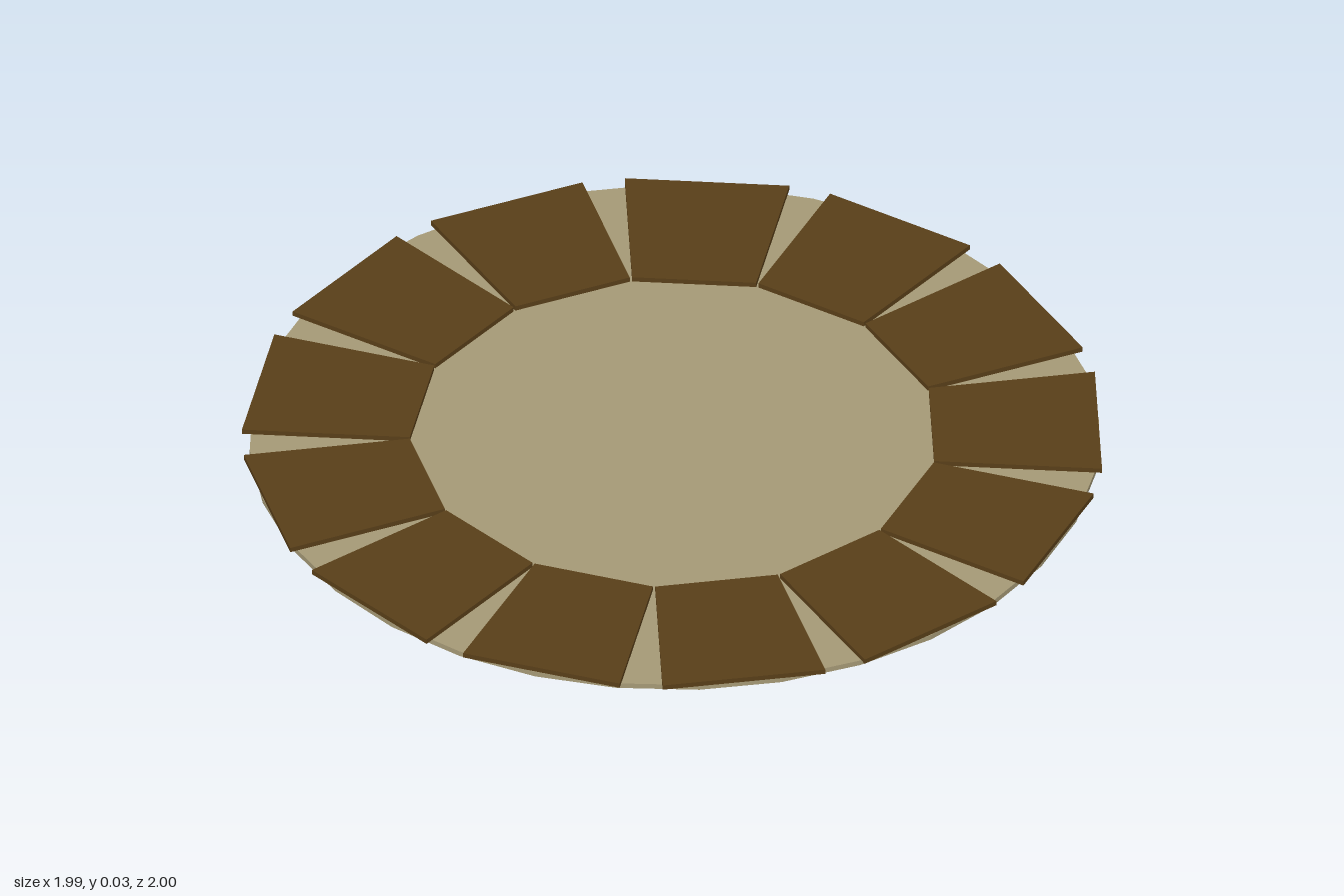
import * as THREE from 'three';

export function createModel() {
  const model = new THREE.Group();
  model.name = 'roundStonePad';
  const sandy = new THREE.MeshStandardMaterial({ color: 0xa49875, flatShading: true });
  const brown = new THREE.MeshStandardMaterial({ color: 0x583e18, flatShading: true });

  const tileCount = 13;
  const discHeight = 0.013;
  const tileHeight = 0.012;
  const centreX = 0.008; // the odd tile count puts the ring slightly off its bounds' centre

  // Thin base disc
  const disc = new THREE.Mesh(new THREE.CylinderGeometry(0.985, 0.985, discHeight, 32), sandy);
  disc.name = 'baseDisc';
  disc.position.set(centreX, discHeight / 2, 0);
  model.add(disc);

  // Tapered rim tile, pointing along +x and lying flat
  const outline = new THREE.Shape([
    new THREE.Vector2(0.596, -0.144),
    new THREE.Vector2(0.983, -0.191),
    new THREE.Vector2(0.983, 0.191),
    new THREE.Vector2(0.596, 0.144),
  ]);
  const tileGeometry = new THREE.ExtrudeGeometry(outline, { depth: tileHeight, bevelEnabled: false });
  tileGeometry.rotateX(-Math.PI / 2);

  // Ring of tiles around the rim
  const ring = new THREE.Group();
  ring.name = 'tileRing';
  ring.position.set(centreX, discHeight, 0);
  for (let i = 0; i < tileCount; i++) {
    const tile = new THREE.Mesh(tileGeometry, brown);
    tile.name = `rimTile${i + 1}`;
    tile.rotation.y = (i / tileCount) * Math.PI * 2;
    ring.add(tile);
  }
  model.add(ring);

  return model;
}
